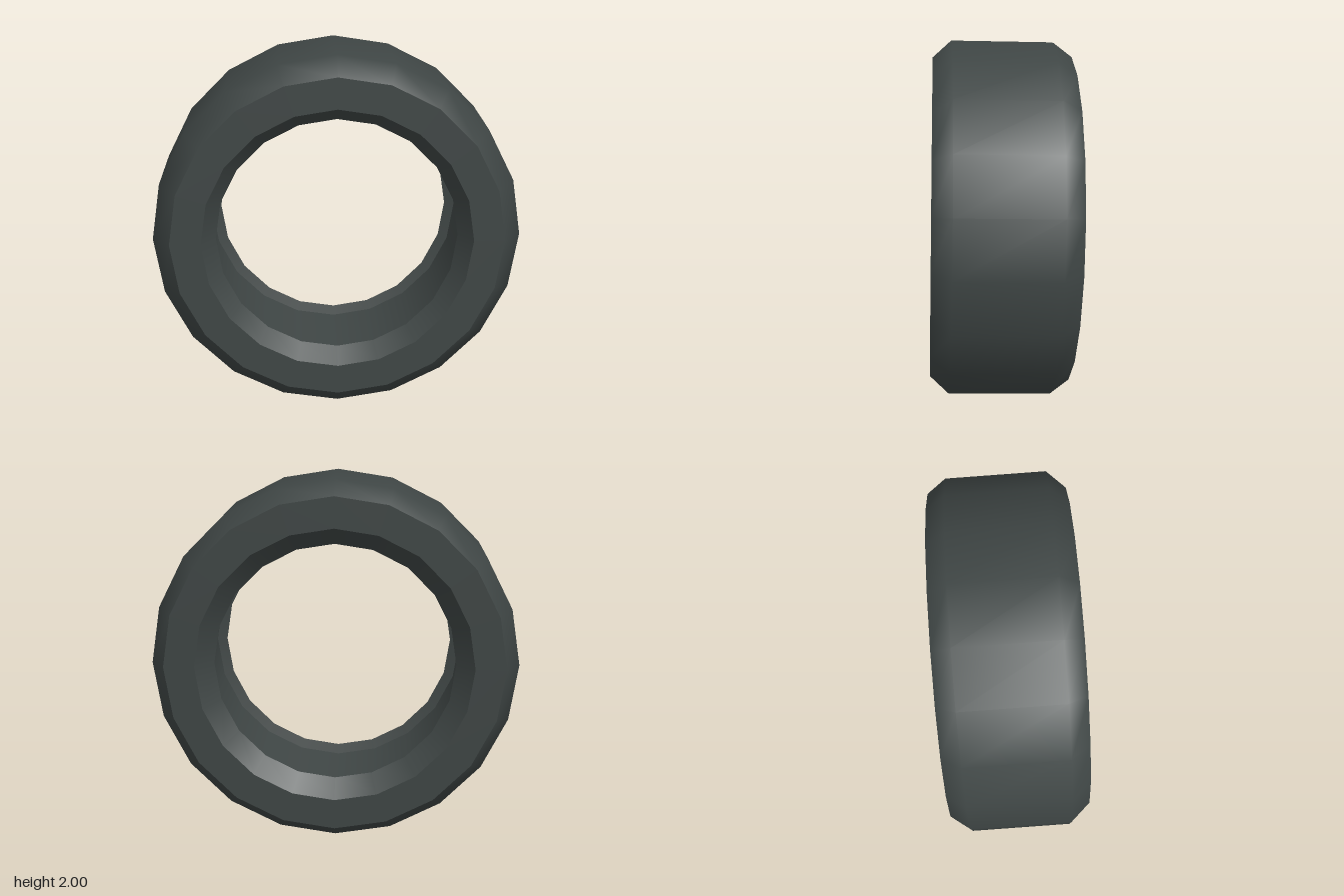
import * as THREE from 'three';

const SIDES = 20;

export function createModel() {
  const rubber = new THREE.MeshStandardMaterial({ color: 0x3f4645 });
  rubber.name = 'dark rubber';

  const tyre = new THREE.Group();
  tyre.name = 'tyre';

  // Surface turned around the z axis from [radius, z] points; each one is smooth
  // in itself and meets its neighbours at a sharp edge.
  const turned = (name, points) => {
    const profile = points.map(([r, z]) => new THREE.Vector2(r, z));
    const geometry = new THREE.LatheGeometry(profile, SIDES).rotateX(Math.PI / 2);
    const mesh = new THREE.Mesh(geometry, rubber);
    mesh.name = name;
    tyre.add(mesh);
  };

  // Tread with its rounded shoulders
  turned('tread', [[0.917, -0.375], [0.993, -0.272], [0.993, 0.272], [0.897, 0.375]]);

  // Flat side walls
  turned('frontSidewall', [[0.897, 0.375], [0.73, 0.375]]);
  turned('backSidewall', [[0.75, -0.375], [0.917, -0.375]]);

  // Bevelled beads narrowing to a lip on each side
  turned('frontBead', [[0.73, 0.375], [0.655, 0.275]]);
  turned('backBead', [[0.655, -0.275], [0.75, -0.375]]);

  // Inner faces of the lips and the recessed bore between them
  turned('frontLip', [[0.655, 0.275], [0.71, 0.26]]);
  turned('bore', [[0.71, 0.26], [0.71, -0.26]]);
  turned('backLip', [[0.71, -0.26], [0.655, -0.275]]);

  // Slight backward lean
  tyre.rotation.x = -0.027;
  tyre.position.y = 1;

  const model = new THREE.Group();
  model.name = 'wheelTyre';
  model.add(tyre);
  return model;
}
